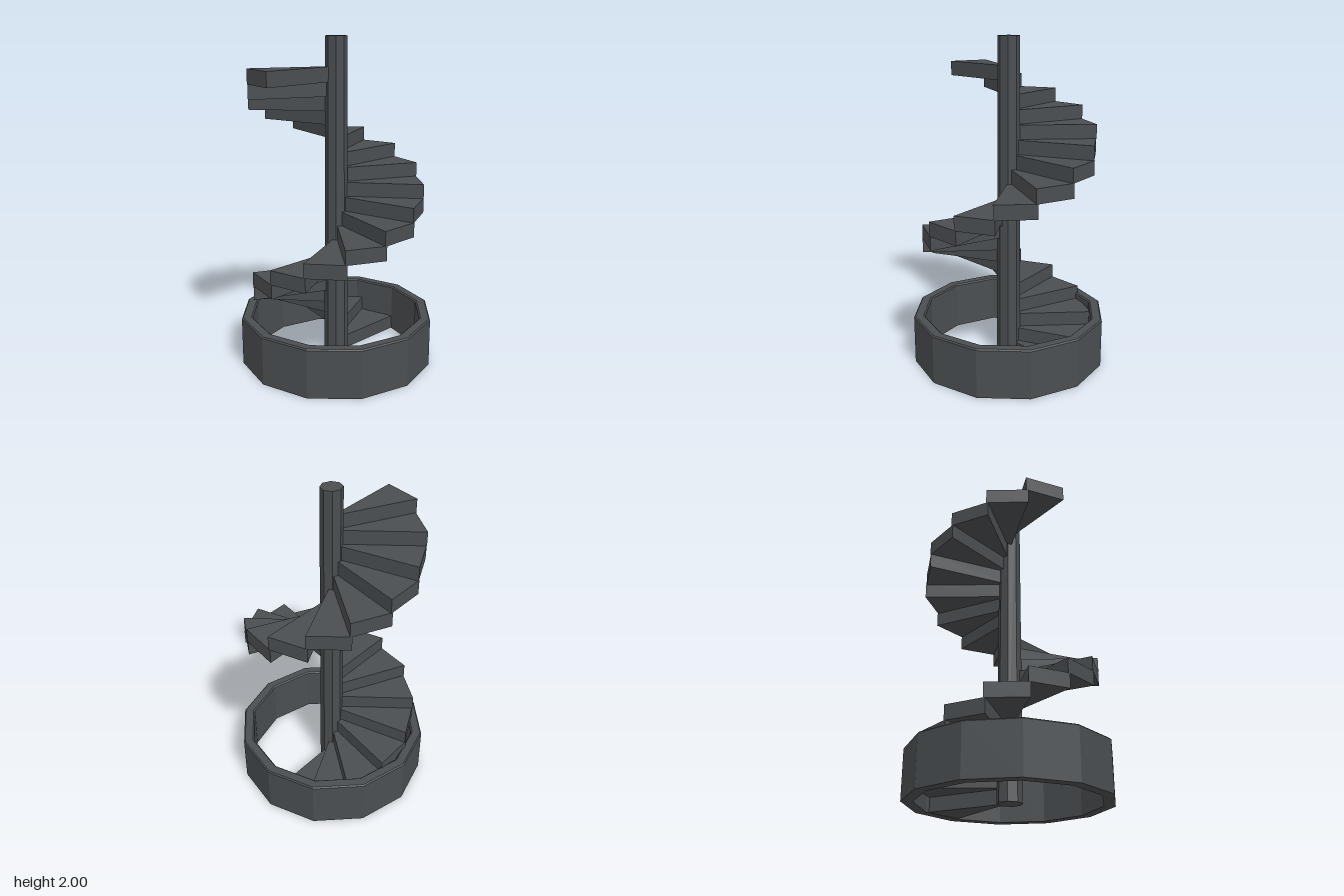
import * as THREE from 'three';

const STEPS = 21, PER_TURN = 14;
const PITCH = 0.0867, STEP_HEIGHT = 0.0885;
const STEP_RADIUS = 0.53, WEDGE = THREE.MathUtils.degToRad(27);

// Split shared vertices so every facet is flat
function faceted(geometry) {
  const flat = geometry.index ? geometry.toNonIndexed() : geometry;
  flat.computeVertexNormals();
  return flat;
}

export function createModel() {
  const model = new THREE.Group();
  model.name = 'spiralStaircase';

  const iron = new THREE.MeshStandardMaterial({ color: 0x4a4e51 });
  iron.name = 'dark grey';

  const add = (geometry, name, parent = model) => {
    const mesh = new THREE.Mesh(geometry, iron);
    mesh.name = name;
    parent.add(mesh);
    return mesh;
  };

  // Twelve-sided open base ring with a bevelled upper rim
  const ringProfile = [
    [0.6, 0], [0.6, 0.297], [0.592, 0.305], [0.541, 0.305], [0.532, 0.297], [0.532, 0], [0.6, 0],
  ].map(([r, y]) => new THREE.Vector2(r, y));
  add(faceted(new THREE.LatheGeometry(ringProfile, 12)), 'baseRing');

  // Slightly tapered central pole
  const pole = add(faceted(new THREE.CylinderGeometry(0.065, 0.075, 2, 8)), 'centralPole');
  pole.position.y = 1;

  // One wedge-shaped tread, lying flat with its point inside the pole
  const wedge = new THREE.Shape([
    new THREE.Vector2(0, 0),
    new THREE.Vector2(STEP_RADIUS, 0),
    new THREE.Vector2(STEP_RADIUS * Math.cos(WEDGE), STEP_RADIUS * Math.sin(WEDGE)),
  ]);
  const tread = new THREE.ExtrudeGeometry(wedge, { depth: STEP_HEIGHT, bevelEnabled: false });
  tread.rotateX(-Math.PI / 2);

  // Treads winding one and a half turns up the pole
  const stairs = new THREE.Group();
  stairs.name = 'stairs';
  model.add(stairs);
  for (let i = 0; i < STEPS; i++) {
    const step = add(tread, `step${i + 1}`, stairs);
    step.position.y = 0.003 + i * PITCH;
    step.rotation.y = (i * Math.PI * 2) / PER_TURN;
  }

  return model;
}
